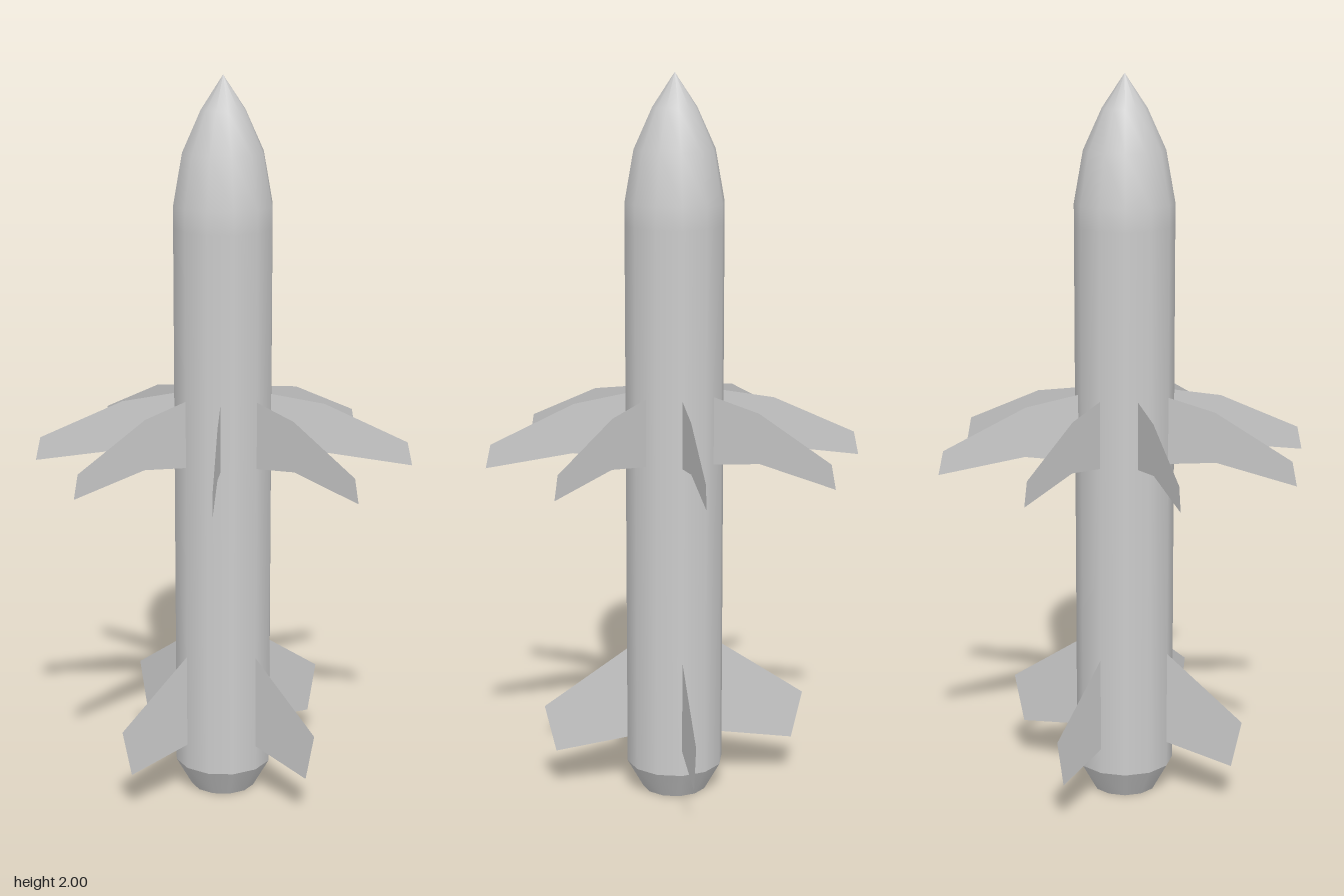
import * as THREE from 'three';

const grey = new THREE.MeshStandardMaterial({ color: 0xcccccc });
const sheet = new THREE.MeshStandardMaterial({ color: 0xcccccc, side: THREE.DoubleSide });
const SIDES = 12;

const points = (list) => list.map(([r, y]) => new THREE.Vector2(r, y));

function turned(name, profile) {
  const mesh = new THREE.Mesh(new THREE.LatheGeometry(points(profile), SIDES), grey);
  mesh.name = name;
  return mesh;
}

// Ring of flat fins; outline is given as [radius, height]
function finRing(name, count, outline) {
  const ring = new THREE.Group();
  ring.name = name + 's';
  const geometry = new THREE.ShapeGeometry(new THREE.Shape(points(outline)));
  for (let i = 0; i < count; i++) {
    const fin = new THREE.Mesh(geometry, sheet);
    fin.name = name + (i + 1);
    fin.rotation.y = (i / count) * Math.PI * 2;
    ring.add(fin);
  }
  return ring;
}

export function createModel() {
  const model = new THREE.Group();
  model.name = 'missile';

  // Straight body running smoothly into the pointed nose
  model.add(turned('bodyAndNose', [
    [0.135, 0.08], [0.135, 1.6], [0.135, 1.66], [0.11, 1.8], [0.06, 1.91], [0, 2],
  ]));

  // Tapered tail with a flat closing disc
  model.add(turned('tailCone', [[0.09, 0], [0.135, 0.08]]));
  const cap = new THREE.Mesh(new THREE.CircleGeometry(0.09, SIDES), grey);
  cap.name = 'tailCap';
  cap.rotation.x = Math.PI / 2;
  model.add(cap);

  // Eight swept wings at mid-body
  model.add(finRing('wing', 8, [
    [0.13, 0.96], [0.28, 0.983], [0.517, 0.95], [0.503, 1.015], [0.276, 1.12], [0.13, 1.146],
  ]));

  // Four tail fins
  model.add(finRing('tailFin', 4, [
    [0.13, 0.152], [0.337, 0.122], [0.368, 0.257], [0.13, 0.418],
  ]));

  return model;
}
